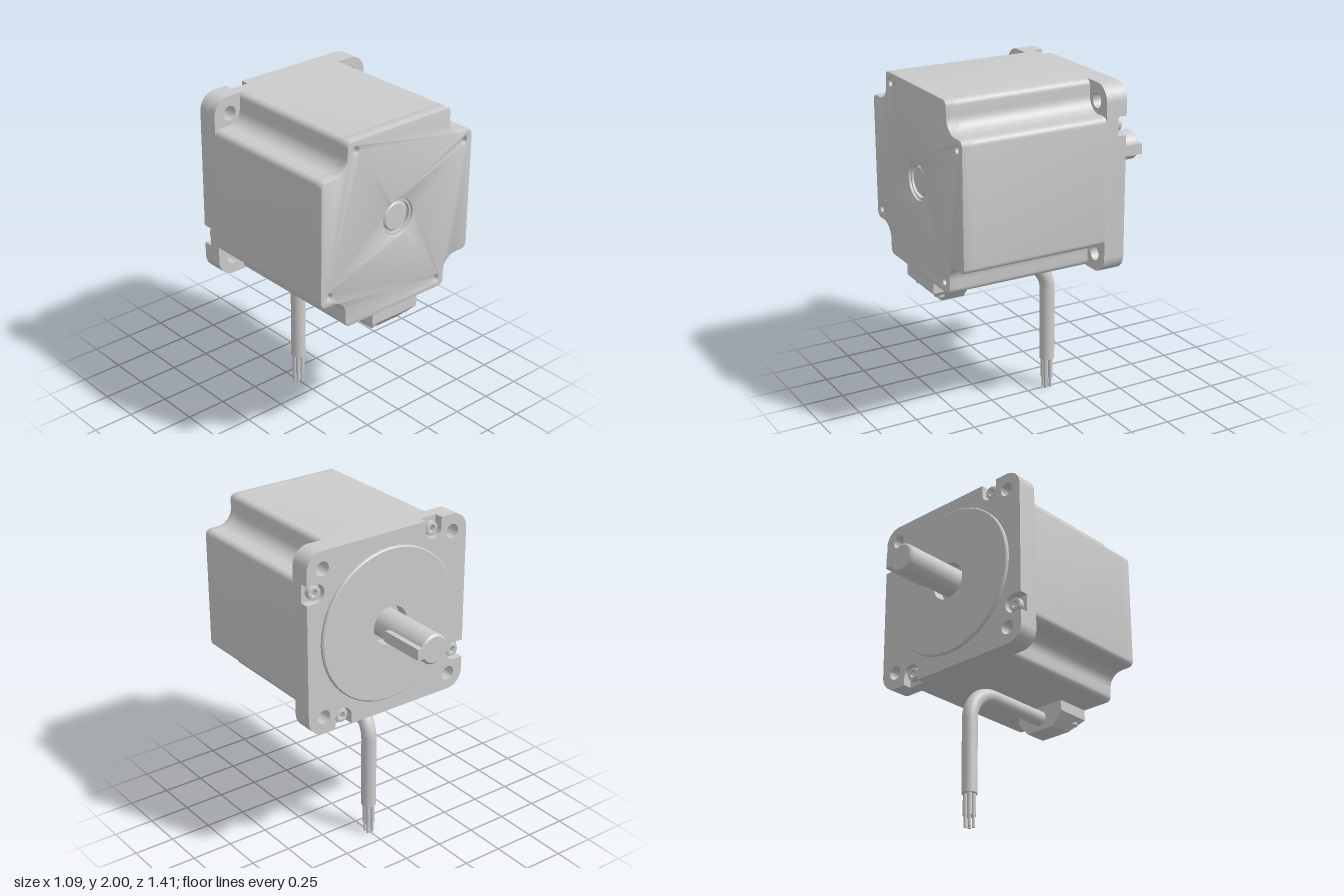
import * as THREE from 'three';
import { toCreasedNormals, mergeVertices } from 'three/addons/utils/BufferGeometryUtils.js';
import { ConvexGeometry } from 'three/addons/geometries/ConvexGeometry.js';

const CY = 1.455;      // motor axis height
const H = 0.545;       // half width of the square section
const SCREW = [0.485, 0.31];
const mat = new THREE.MeshStandardMaterial({ color: 0xcccccc, side: THREE.DoubleSide });

function add(parent, name, geometry, x = 0, y = 0, z = 0) {
  const mesh = new THREE.Mesh(geometry, mat);
  mesh.name = name;
  mesh.position.set(x, y, z);
  parent.add(mesh);
  return mesh;
}

// Points of an arc, angles in quarter turns
function arc(cx, cy, r, a0, a1, n = 10) {
  return Array.from({ length: n + 1 }, (_, i) => {
    const a = (a0 + ((a1 - a0) * i) / n) * Math.PI / 2;
    return [cx + r * Math.cos(a), cy + r * Math.sin(a)];
  });
}

const turn = ([x, y], k) => {
  for (let i = 0; i < k; i++) [x, y] = [-y, x];
  return [x, y];
};

// Repeats one side of an outline four times about the axis
function fourfold(side) {
  const pts = [];
  for (let k = 0; k < 4; k++) side.forEach(p => pts.push(new THREE.Vector2(...turn(p, k))));
  return new THREE.Shape(pts);
}

function hole(shape, x, y, r) {
  shape.holes.push(new THREE.Path().absarc(x, y, r, 0, Math.PI * 2, true));
}

function extrude(shape, z0, z1, bevel = 0) {
  const g = new THREE.ExtrudeGeometry(shape, {
    depth: z1 - z0 - 2 * bevel, curveSegments: 16, bevelEnabled: bevel > 0,
    bevelThickness: bevel, bevelSize: bevel, bevelOffset: -bevel, bevelSegments: 2,
  });
  g.translate(0, 0, z0 + bevel);
  return toCreasedNormals(g, 0.5);
}

// Solid of revolution about z from [radius, z] pairs
function turned(profile) {
  const g = new THREE.LatheGeometry(profile.map(([r, z]) => new THREE.Vector2(r, z)), 48);
  g.rotateX(Math.PI / 2);
  return toCreasedNormals(g, 0.5);
}

// Body section with a concave relief at each corner
const bodyShape = () => fourfold([
  ...arc(H - 0.035, 0.335, 0.035, 0, 1, 6),
  ...arc(0.46, 0.46, 0.09, 3, 2),
  ...arc(0.335, H - 0.035, 0.035, 0, 1, 6),
]);

// Flange section, optionally with open screw pockets on the sides
function flangeShape(pockets) {
  const [sx, sy] = SCREW;
  const cut = pockets ? [[H, sy - 0.055], ...arc(sx, sy, 0.055, 3, 1, 16), [H, sy + 0.055]] : [];
  const s = fourfold([...cut, ...arc(H - 0.1, H - 0.1, 0.1, 0, 1)]);
  for (let k = 0; k < 4; k++) hole(s, ...turn([0.443, 0.443], k), 0.042);
  return s;
}

function createMotor() {
  const g = new THREE.Group();
  g.name = 'motor';
  g.position.y = CY;

  // Housing and rear cover with bearing recess and screw holes
  add(g, 'housing', extrude(bodyShape(), -0.175, 0.66));
  const cover = bodyShape();
  hole(cover, 0, 0, 0.107);
  for (let k = 0; k < 4; k++) hole(cover, ...turn(SCREW, k), 0.019);
  add(g, 'rearCover', extrude(cover, 0.63, 0.705, 0.008));
  add(g, 'rearBearing', turned([[0.107, 0.66], [0.107, 0.69], [0.095, 0.69], [0.095, 0.67],
    [0.082, 0.67], [0.082, 0.68], [0.075, 0.687], [0, 0.687]]));

  // Mounting flange in two layers, the outer one with pockets
  add(g, 'flangeBase', extrude(flangeShape(false), -0.25, -0.175));
  const face = flangeShape(true);
  hole(face, 0, 0, 0.115);
  add(g, 'flangeFace', extrude(face, -0.302, -0.25));

  // Socket head screws in the pockets
  const head = new THREE.Shape().absarc(0, 0, 0.04, 0, Math.PI * 2);
  head.holes.push(new THREE.Path(arc(0, 0, 0.02, 4, 0, 6).map(p => new THREE.Vector2(...p))));
  const headGeo = extrude(head, -0.288, -0.25, 0.005);
  for (let k = 0; k < 4; k++) add(g, 'flangeScrew', headGeo, ...turn(SCREW, k));

  // Raised pilot ring around the shaft opening
  add(g, 'pilotRing', turned([[0.115, -0.25], [0.115, -0.322], [0.453, -0.322], [0.46, -0.315], [0.46, -0.3]]));

  // Output shaft and its key
  add(g, 'shaft', turned([[0.0875, -0.25], [0.0875, -0.693], [0.076, -0.705], [0, -0.705]]));
  const key = new THREE.Shape([...arc(0.428, 0, 0.033, 1, 3), [0.705, -0.033], [0.705, 0.033]]
    .map(p => new THREE.Vector2(...p)));
  const keyGeo = extrude(key, 0.05, 0.114);
  keyGeo.rotateY(Math.PI / 2);
  add(g, 'shaftKey', keyGeo);
  return g;
}

function createCable() {
  const g = new THREE.Group();
  g.name = 'cableAssembly';

  // Cable outlet: a base block tapering downward
  const block = levels => {
    const pts = [];
    for (const [y, x, z0, z1] of levels)
      for (const sx of [-x, x]) for (const z of [z0, z1]) pts.push(new THREE.Vector3(sx, y, z));
    return new ConvexGeometry(pts);
  };
  add(g, 'cableOutlet', block([[0.92, 0.167, 0.48, 0.7], [0.845, 0.167, 0.48, 0.7], [0.763, 0.1, 0.48, 0.62]]));
  for (const s of [-1, 1])
    add(g, 'outletScrew', new THREE.CylinderGeometry(0.03, 0.03, 0.06, 20), s * 0.118, 0.835, 0.64);

  // Cable with a quarter bend
  const path = new THREE.CurvePath();
  const v = (y, z) => new THREE.Vector3(0, y, z);
  const R = 0.19, k = R * 0.448, y0 = 0.835, z0 = -0.13;
  path.add(new THREE.LineCurve3(v(y0, 0.5), v(y0, z0 + R)));
  path.add(new THREE.CubicBezierCurve3(v(y0, z0 + R), v(y0, z0 + k), v(y0 - k, z0), v(y0 - R, z0)));
  path.add(new THREE.LineCurve3(v(y0 - R, z0), v(0.195, z0)));
  add(g, 'cable', new THREE.TubeGeometry(path, 80, 0.045, 24));
  const end = new THREE.CircleGeometry(0.045, 24);
  end.rotateX(Math.PI / 2);
  add(g, 'cableEnd', end, 0, 0.195, z0);

  // Four insulated wires with bare tips
  for (const sx of [-1, 1]) for (const sz of [-1, 1]) {
    const x = sx * 0.016, z = z0 + sz * 0.016;
    add(g, 'wire', new THREE.CylinderGeometry(0.0145, 0.0145, 0.135, 14), x, 0.1325, z);
    add(g, 'wireTip', new THREE.CylinderGeometry(0.009, 0.009, 0.07, 12), x, 0.035, z);
  }
  return g;
}

export function createModel() {
  const model = new THREE.Group();
  model.name = 'electricMotor';
  model.add(createMotor(), createCable());
  return model;
}
